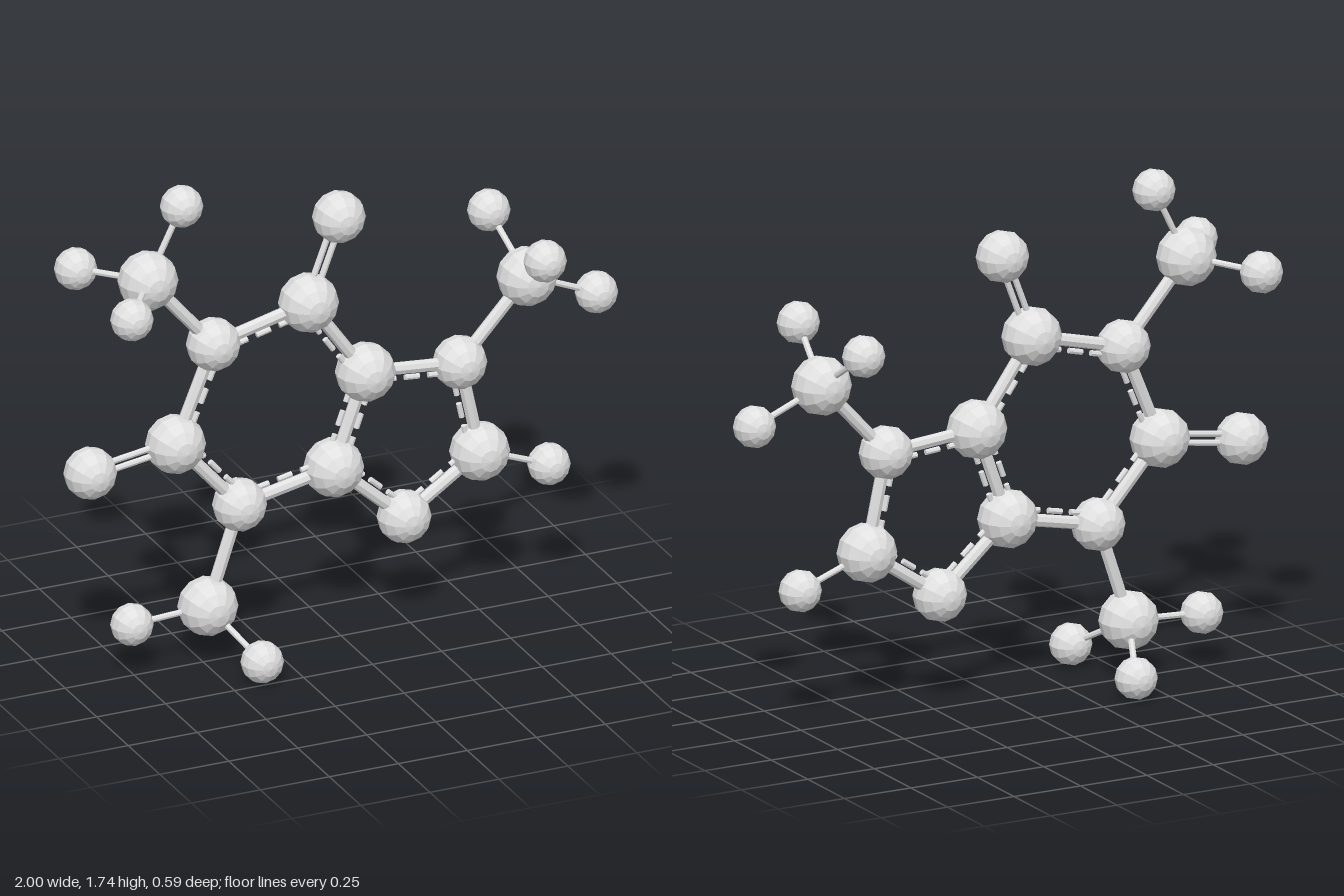
import * as THREE from 'three';

// Ball radii: large, medium, small-medium and small
const R = { C: 0.101, N: 0.091, O: 0.089, H: 0.072 };

// Ball centres: [kind, x, y, z]
const ATOMS = {
  n1: ['N', -0.463, 1.146, 0], c2: ['C', -0.6, 0.81, 0], n3: ['N', -0.368, 0.547, 0],
  c4: ['C', -0.027, 0.617, 0], c5: ['C', 0.088, 0.941, 0], c6: ['C', -0.118, 1.231, 0],
  n7: ['N', 0.43, 0.911, 0], c8: ['C', 0.502, 0.576, 0], n9: ['N', 0.228, 0.391, 0],
  o2: ['O', -0.909, 0.763, 0], o6: ['O', -0.008, 1.521, 0], h8: ['H', 0.753, 0.481, 0],
  m1: ['C', -0.7, 1.421, 0], m3: ['C', -0.483, 0.201, 0], m7: ['C', 0.673, 1.176, 0],
  h1: ['H', -0.578, 1.667, 0], h1a: ['H', -0.86, 1.402, 0.223], h1b: ['H', -0.86, 1.402, -0.223],
  h3: ['H', -0.758, 0.186, 0], h3a: ['H', -0.388, 0.073, 0.223], h3b: ['H', -0.388, 0.073, -0.223],
  h7: ['H', 0.925, 1.071, 0], h7a: ['H', 0.637, 1.33, 0.223], h7b: ['H', 0.637, 1.33, -0.223],
};
const RINGS = [['n1', 'c2', 'n3', 'c4', 'c5', 'c6'], ['c4', 'c5', 'n7', 'c8', 'n9']];
const THICK = [['n1', 'm1'], ['n3', 'm3'], ['n7', 'm7']];
const DOUBLE = [['c2', 'o2'], ['c6', 'o6']];
const THIN = [['c8', 'h8'], ['m1', 'h1'], ['m1', 'h1a'], ['m1', 'h1b'], ['m3', 'h3'],
  ['m3', 'h3a'], ['m3', 'h3b'], ['m7', 'h7'], ['m7', 'h7a'], ['m7', 'h7b']];

export function createModel() {
  const model = new THREE.Group();
  model.name = 'moleculeModel';
  const grey = new THREE.MeshStandardMaterial({ color: 0xe0e0e0, flatShading: true });
  grey.name = 'lightGrey';
  const pos = (id) => new THREE.Vector3(...ATOMS[id].slice(1));

  function add(geometry, name) {
    const mesh = new THREE.Mesh(geometry, grey);
    mesh.name = name;
    model.add(mesh);
    return mesh;
  }

  // Straight rod between two points
  function rod(a, b, radius, name) {
    const dir = b.clone().sub(a);
    const mesh = add(new THREE.CylinderGeometry(radius, radius, dir.length(), 8), name);
    mesh.position.copy(a).lerp(b, 0.5);
    mesh.quaternion.setFromUnitVectors(new THREE.Vector3(0, 1, 0), dir.normalize());
  }

  // Balls, with their poles along z
  const names = { C: 'largeBall', N: 'mediumBall', O: 'endBall', H: 'smallBall' };
  const balls = {};
  for (const kind in R) balls[kind] = new THREE.SphereGeometry(R[kind], 12, 8).rotateX(Math.PI / 2);
  for (const id in ATOMS) add(balls[ATOMS[id][0]], names[ATOMS[id][0]]).position.copy(pos(id));

  // Ring rods, each with a dashed rod on the inner side
  const built = new Set();
  for (const ring of RINGS) {
    const centre = new THREE.Vector3();
    ring.forEach((id) => centre.addScaledVector(pos(id), 1 / ring.length));
    ring.forEach((id, i) => {
      const next = ring[(i + 1) % ring.length];
      const a = pos(id), b = pos(next);
      const key = [id, next].sort().join();
      if (!built.has(key)) rod(a, b, 0.022, 'ringRod');
      built.add(key);
      const dir = b.clone().sub(a), length = dir.length();
      dir.normalize();
      const inward = centre.clone().sub(a);
      inward.addScaledVector(dir, -inward.dot(dir)).setLength(0.035);
      for (let k = -1; k <= 1; k++) {
        const mid = a.clone().add(inward).addScaledVector(dir, length / 2 + k * 0.085);
        rod(mid.clone().addScaledVector(dir, -0.026), mid.clone().addScaledVector(dir, 0.026), 0.01, 'ringDash');
      }
    });
  }

  // Thick and thin single rods
  for (const [a, b] of THICK) rod(pos(a), pos(b), 0.022, 'armRod');
  for (const [a, b] of THIN) rod(pos(a), pos(b), 0.011, 'thinRod');

  // Paired rods to the end balls
  for (const [p, q] of DOUBLE) {
    const a = pos(p), b = pos(q);
    const side = new THREE.Vector3(a.y - b.y, b.x - a.x, 0).setLength(0.015);
    for (const s of [-1, 1]) {
      rod(a.clone().addScaledVector(side, s), b.clone().addScaledVector(side, s), 0.011, 'pairedRod');
    }
  }
  return model;
}
